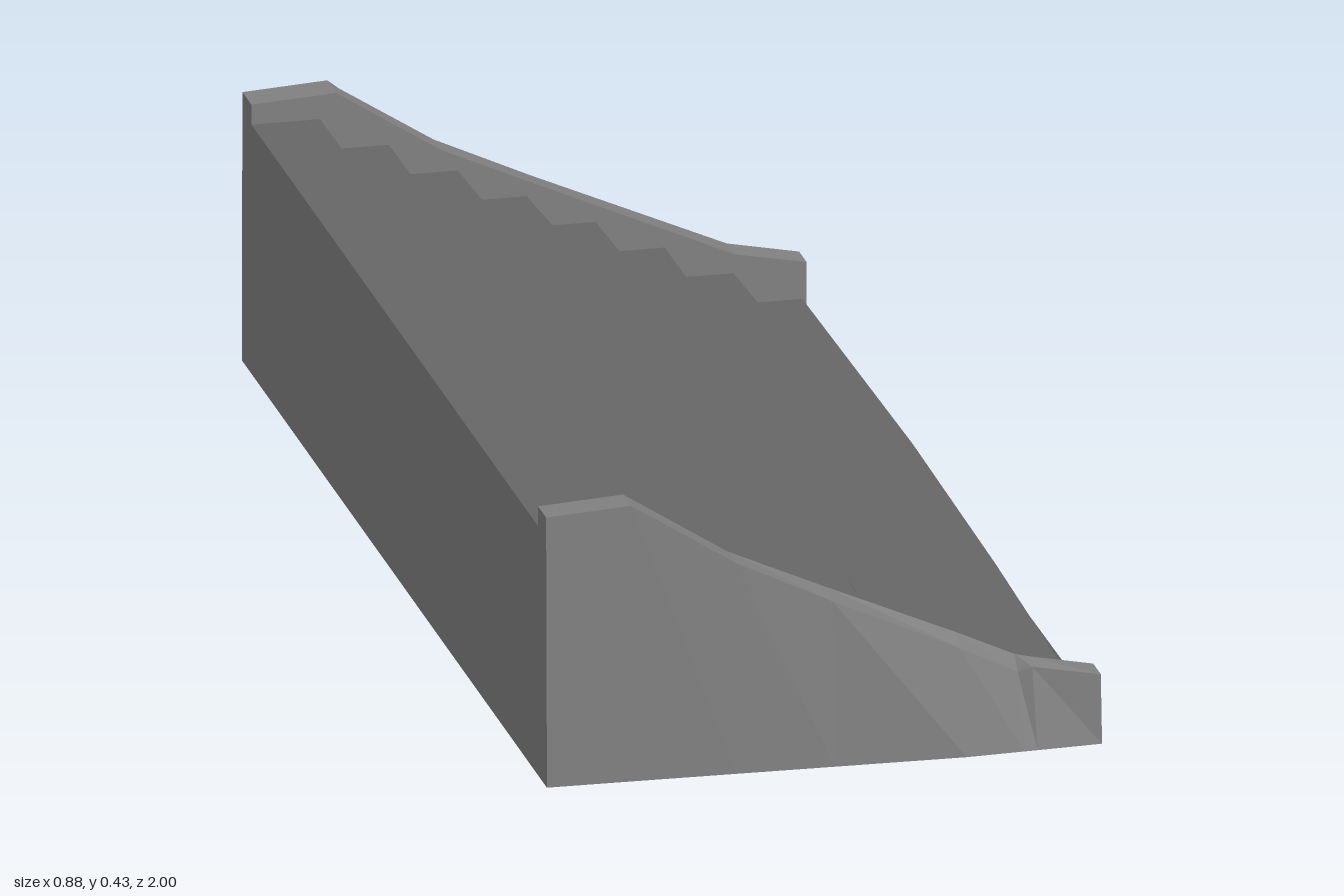
import * as THREE from 'three';

const stone = (color) => new THREE.MeshStandardMaterial({ color, flatShading: true, side: THREE.DoubleSide });
const wallStone = stone(0x808080);
const stepStone = stone(0x666666);

// Skin a row of cross-sections (arrays of [x, y, z]) with flat facets.
function loft(name, material, sections) {
  const pos = [];
  for (let s = 0; s < sections.length - 1; s++) {
    const A = sections[s], B = sections[s + 1];
    for (let p = 0; p < A.length - 1; p++) {
      pos.push(...A[p], ...B[p], ...A[p + 1], ...A[p + 1], ...B[p], ...B[p + 1]);
    }
  }
  const geo = new THREE.BufferGeometry();
  geo.setAttribute('position', new THREE.Float32BufferAttribute(pos, 3));
  geo.computeVertexNormals();
  const mesh = new THREE.Mesh(geo, material);
  mesh.name = name;
  return mesh;
}

// End wall, open underneath; columns are [x, innerTopY, outerTopY, outerTopZ, outerBottomZ].
function endWall(name, innerZ, columns) {
  const sections = columns.map(([x, yIn, yOut, zTop, zBottom]) => {
    const section = [[x, 0, innerZ], [x, yIn, innerZ], [x, yOut, zTop], [x, 0, zBottom]];
    return innerZ > 0 ? section.reverse() : section;
  });
  // close each end by collapsing its section to the middle of the foot
  const cap = (section) => section.map(() => [section[0][0], 0, (section[0][2] + section[3][2]) / 2]);
  return loft(name, wallStone, [cap(sections[0]), ...sections, cap(sections[sections.length - 1])]);
}

export function createModel() {
  const group = new THREE.Group();
  group.name = 'stoneSteps';

  const count = 8, rise = 0.0492, backX = -0.44;
  const stations = [-0.92, -0.25, 0.3, 0.77, 0.93];
  // wear along the length: how far the nosing wanders and the riser foot spreads
  const wander = [0, 1, 0.6, -0.3, 0];
  const spread = [0, 0.8, 0.9, 1.3, 0];
  const stepWander = [0.005, 0.005, 0.024, 0.034, 0.02, 0.005, 0.024, 0.01];
  const stepSpread = [0.024, 0.021, 0.02, 0.006, 0.024, 0.018, 0.022, 0.03];

  // Worn treads and slanted risers, one hollow folded sheet
  const stairSections = stations.map((z, s) => {
    const line = [[backX, count * rise, z]];
    for (let i = 0; i < count; i++) {
      const nose = -0.335 + 0.1055 * i + stepWander[i] * wander[s];
      line.push([nose, (count - i) * rise, z]);
      line.push([nose + stepSpread[i] * spread[s], (count - i - 1) * rise, z]);
    }
    return line;
  });
  group.add(loft('steps', stepStone, stairSections));

  // Back wall sheet
  group.add(loft('backWall', wallStone, [-0.92, 0.93].map((z) => [[backX, 0, z], [backX, count * rise, z]])));

  // Worn end walls
  group.add(endWall('frontEndWall', 0.928, [
    [-0.44, 0.425, 0.425, 0.98, 0.985],
    [-0.31, 0.433, 0.433, 0.98, 0.987],
    [-0.15, 0.33, 0.33, 0.98, 0.99],
    [0.0, 0.262, 0.255, 0.975, 0.993],
    [0.2, 0.174, 0.158, 0.956, 0.997],
    [0.29, 0.132, 0.11, 0.945, 0.992],
    [0.31, 0.127, 0.12, 0.957, 0.991],
    [0.41, 0.107, 0.107, 0.977, 0.985],
  ]));
  group.add(endWall('rearEndWall', -0.917, [
    [-0.44, 0.425, 0.425, -0.975, -0.978],
    [-0.31, 0.433, 0.433, -0.975, -0.982],
    [-0.295, 0.423, 0.423, -0.963, -0.983],
    [-0.15, 0.33, 0.33, -0.965, -0.992],
    [0.0, 0.262, 0.26, -0.967, -1.0],
    [0.3, 0.128, 0.128, -0.967, -0.992],
    [0.41, 0.107, 0.107, -0.965, -0.98],
  ]));

  return group;
}
